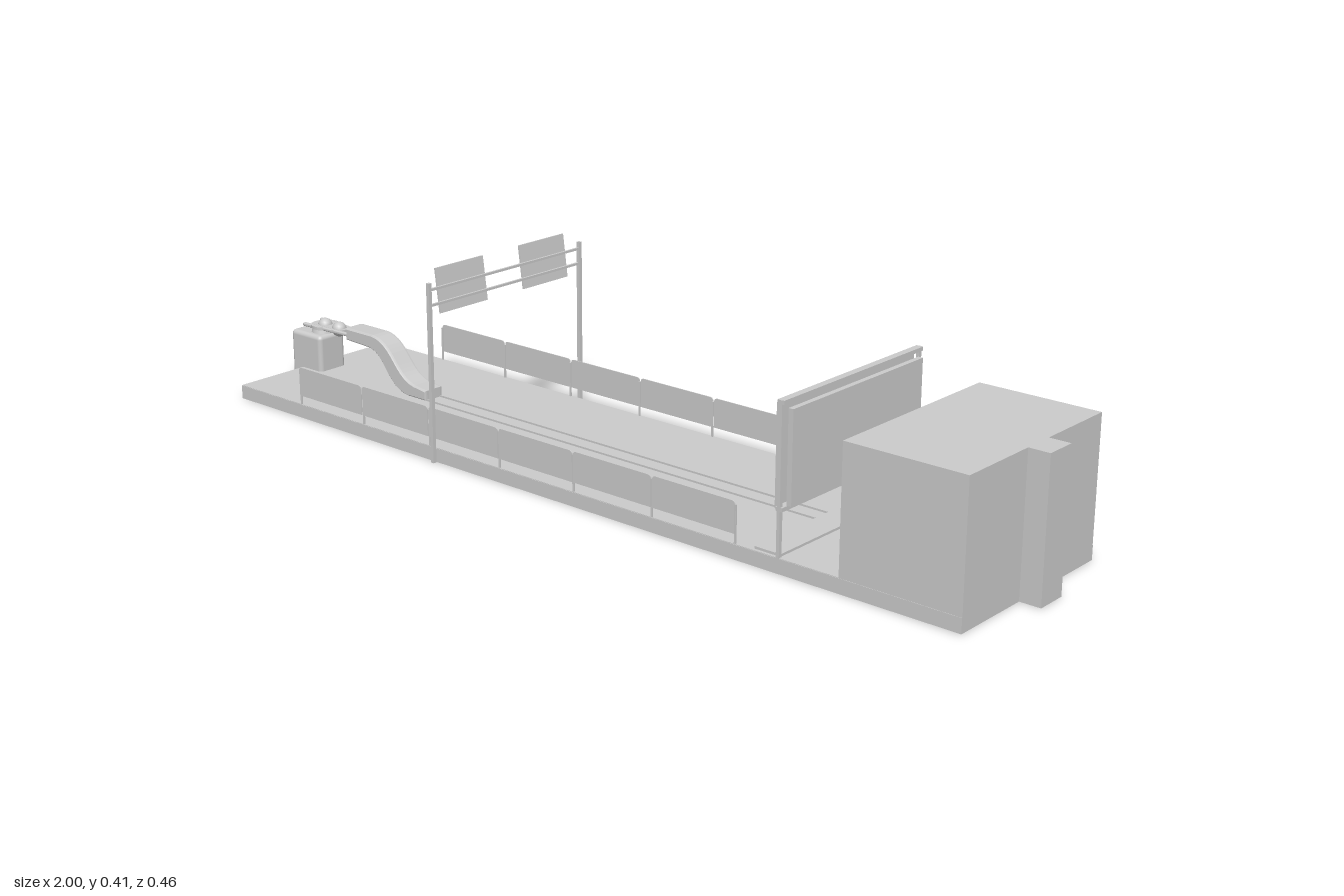
import * as THREE from 'three';
import { RoundedBoxGeometry } from 'three/addons/geometries/RoundedBoxGeometry.js';

const grey = new THREE.MeshStandardMaterial({ color: 0xcccccc, side: THREE.DoubleSide });

function add(parent, name, geometry, x = 0, y = 0, z = 0) {
  const mesh = new THREE.Mesh(geometry, grey);
  mesh.name = name;
  mesh.position.set(x, y, z);
  parent.add(mesh);
  return mesh;
}

// Box given by its limits on each axis
function box(parent, name, x0, x1, y0, y1, z0, z1) {
  return add(parent, name, new THREE.BoxGeometry(x1 - x0, y1 - y0, z1 - z0),
    (x0 + x1) / 2, (y0 + y1) / 2, (z0 + z1) / 2);
}

function group(parent, name) {
  const g = new THREE.Group();
  g.name = name;
  parent.add(g);
  return g;
}

// Upright panel with rounded corners, lying in the xy plane
function roundedPanel(w, h, r, depth) {
  const s = new THREE.Shape();
  const a = w / 2, b = h / 2;
  s.moveTo(-a, -b);
  s.lineTo(a, -b);
  s.lineTo(a, b - r);
  s.quadraticCurveTo(a, b, a - r, b);
  s.lineTo(-a + r, b);
  s.quadraticCurveTo(-a, b, -a, b - r);
  s.closePath();
  return new THREE.ExtrudeGeometry(s, { depth, bevelEnabled: false, curveSegments: 5 })
    .translate(0, 0, -depth / 2);
}

export function createModel() {
  const model = new THREE.Group();
  model.name = 'sportsHall';

  // Hollow platform: thin deck with a skirt on all sides
  const platform = group(model, 'platform');
  box(platform, 'deck', -0.96, 0.955, 0.026, 0.031, -0.217, 0.217);
  for (const s of [-1, 1]) {
    box(platform, 'sideSkirt', -0.96, 0.955, 0, 0.03, s * 0.216 - 0.002, s * 0.216 + 0.002);
    box(platform, 'laneEdge', -0.57, 0.53, 0.031, 0.035, s * 0.02 - 0.001, s * 0.02 + 0.001);
  }
  box(platform, 'endSkirt', -0.96, -0.956, 0, 0.03, -0.217, 0.217);

  // End building with a narrow rear column
  const building = group(model, 'building');
  box(building, 'mainBlock', 0.695, 0.955, 0, 0.289, -0.217, 0.217);
  box(building, 'rearColumn', 0.95, 1, 0, 0.289, -0.034, 0.034);

  // Side fences: six panels and their posts on each side
  const panelGeo = roundedPanel(0.2, 0.065, 0.008, 0.002);
  const pitch = 1.22 / 6;
  for (const s of [-1, 1]) {
    const fence = group(model, 'sideFence');
    for (let i = 0; i < 6; i++)
      add(fence, 'fencePanel', panelGeo, -0.76 + (i + 0.5) * pitch, 0.0835, s * 0.217);
    for (let i = 0; i <= 6; i++) {
      const x = -0.758 + i * (1.216 / 6);
      box(fence, 'fencePost', x - 0.002, x + 0.002, 0.02, 0.108, s * 0.2145 - 0.0015, s * 0.2145 + 0.0015);
    }
  }

  // Gantry over the platform with two tilted boards
  const gantry = group(model, 'gantry');
  for (const s of [-1, 1]) {
    box(gantry, 'gantryPost', -0.337, -0.329, 0, 0.385, s * 0.224 - 0.004, s * 0.224 + 0.004);
    const board = add(gantry, 'board', new THREE.BoxGeometry(0.004, 0.094, 0.136), -0.344, 0.36, s * 0.122);
    board.rotation.z = 0.13;
  }
  for (const y of [0.337, 0.37])
    box(gantry, 'crossbar', -0.336, -0.331, y - 0.0025, y + 0.0025, -0.222, 0.222);

  // Large screen standing in front of the building
  const screen = group(model, 'screen');
  box(screen, 'frontPanel', 0.544, 0.551, 0.122, 0.324, -0.21, 0.21);
  box(screen, 'rearPanel', 0.565, 0.576, 0.13, 0.316, -0.203, 0.203);
  for (const s of [-1, 1])
    box(screen, 'screenPost', 0.555, 0.562, 0.03, 0.333, s * 0.214 - 0.004, s * 0.214 + 0.004);
  for (const y of [0.125, 0.329])
    box(screen, 'screenRail', 0.551, 0.566, y - 0.004, y + 0.004, -0.217, 0.217);
  box(model, 'lowCurb', 0.5, 0.56, 0.03, 0.036, -0.21, 0.21);

  // Rounded pedestal at the far end
  const machine = group(model, 'machine');
  add(machine, 'pedestal', new RoundedBoxGeometry(0.1, 0.115, 0.075, 3, 0.01), -0.948, 0.0575, 0);

  // Flat links and joints on top of the pedestal
  for (const [x, r] of [[-0.92, 0.033], [-0.872, 0.024]]) {
    add(machine, 'jointDisc', new THREE.CylinderGeometry(r, r, 0.007, 24), x, 0.131, 0);
    add(machine, 'jointBall', new THREE.SphereGeometry(0.017, 16, 10), x, 0.131, 0);
  }
  add(machine, 'jointStem', new THREE.CylinderGeometry(0.022, 0.026, 0.016, 20), -0.93, 0.121, 0);
  for (const s of [-1, 1]) {
    const link = add(machine, 'link', new RoundedBoxGeometry(0.15, 0.008, 0.009, 2, 0.003), -0.89, 0.131, s * 0.021);
    link.rotation.y = s * 0.06;
  }

  // S-shaped arm running from the joints down to the deck
  const s = new THREE.Shape();
  s.moveTo(-0.818, 0.146);
  s.lineTo(-0.735, 0.146);
  s.bezierCurveTo(-0.665, 0.14, -0.665, 0.06, -0.59, 0.055);
  s.lineTo(-0.568, 0.052);
  s.lineTo(-0.568, 0.035);
  s.lineTo(-0.62, 0.035);
  s.bezierCurveTo(-0.69, 0.04, -0.69, 0.115, -0.745, 0.121);
  s.lineTo(-0.818, 0.124);
  s.closePath();
  const armGeo = new THREE.ExtrudeGeometry(s, {
    depth: 0.04, bevelEnabled: true, bevelSize: 0.003, bevelThickness: 0.006, bevelSegments: 2, curveSegments: 16,
  });
  add(machine, 'curvedArm', armGeo, 0, 0, -0.02);

  return model;
}
